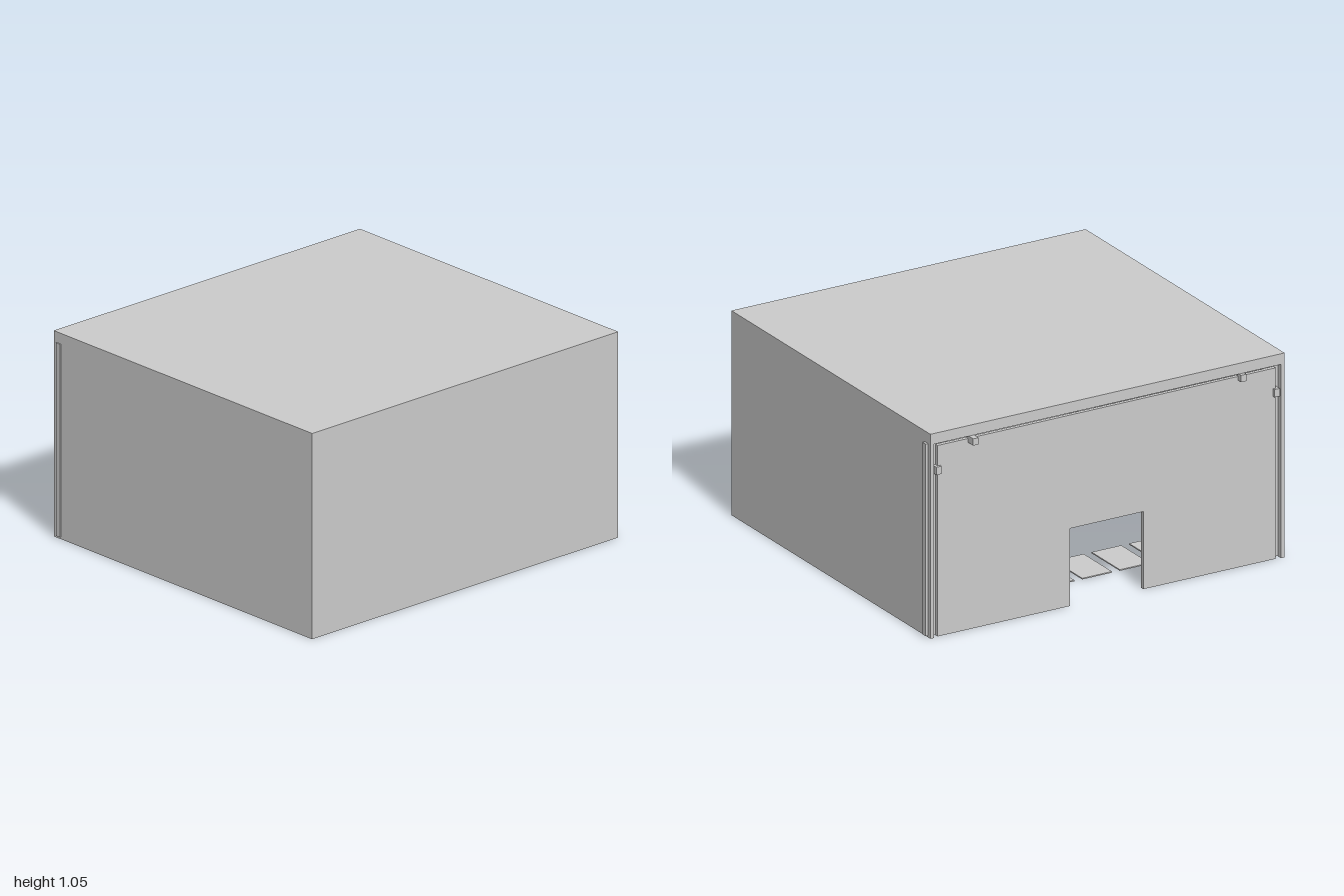
import * as THREE from 'three';

export function createModel() {
  const group = new THREE.Group();
  const material = new THREE.MeshStandardMaterial({ color: 0xcccccc, flatShading: true });

  // Box given by its limits on each axis
  function box(name, x0, x1, y0, y1, z0, z1) {
    const mesh = new THREE.Mesh(new THREE.BoxGeometry(x1 - x0, y1 - y0, z1 - z0), material);
    mesh.position.set((x0 + x1) / 2, (y0 + y1) / 2, (z0 + z1) / 2);
    mesh.name = name;
    group.add(mesh);
    return mesh;
  }

  const L = -0.995, R = 0.985, F = 0.93, B = -0.9, T = 0.02, H = 1.0;

  // Roof slab and outer walls
  box('roof', L, R, H, 1.055, B, F);
  box('frontWall', L, R, 0, H, F - T, F);
  box('rightWall', L, L + T, 0, H, B, F - T);
  box('leftWall', R - T, R, 0, H, B, F - T);

  // Back wall with a low doorway, set slightly inwards
  const wall = new THREE.Shape([
    [-0.95, 0], [-0.21, 0], [-0.21, 0.4], [0.2, 0.4], [0.2, 0], [0.94, 0], [0.94, 0.985], [-0.95, 0.985],
  ].map(([x, y]) => new THREE.Vector2(x, y)));
  const back = new THREE.Mesh(new THREE.ExtrudeGeometry(wall, { depth: T, bevelEnabled: false }), material);
  back.position.z = -0.892;
  back.name = 'backWall';
  group.add(back);

  // Thin vertical trims outside the side walls
  box('leftTrim', R, 1.0, 0.01, H, -0.88, -0.85);
  box('rightTrim', -1.0, L, 0.01, H, -0.88, -0.85);

  // Corner posts and foot plates
  for (const right of [true, false]) {
    for (const front of [true, false]) {
      const x = right ? L + T : R - T, sx = right ? 1 : -1;
      const z = front ? F - T : B + 0.03, sz = front ? -1 : 1;
      const span = (a, s, d) => [Math.min(a, a + s * d), Math.max(a, a + s * d)];
      box('cornerPost', ...span(x, sx, 0.09), 0.008, H, ...span(z, sz, 0.09));
      box('footPlate', ...span(x, sx, 0.17), 0.002, 0.008, ...span(z, sz, 0.17));
    }
  }

  // Beams below the roof, along the side walls
  box('rightBeam', L + T, L + T + 0.04, 0.93, H, B + 0.03, F - T);
  box('leftBeam', R - T - 0.04, R - T, 0.93, H, B + 0.03, F - T);

  // Three rows of eight floor panels
  for (const z of [-0.51, 0.08, 0.67]) {
    for (let i = 0; i < 8; i++) {
      const x = (i - 3.5) * 0.21;
      box('floorPanel', x - 0.083, x + 0.083, 0.002, 0.008, z - 0.13, z + 0.13);
    }
  }

  // Small blocks on the back wall
  box('leftCatch', 0.74, 0.77, 0.965, H, -0.94, -0.88);
  box('rightCatch', -0.77, -0.74, 0.965, H, -0.92, -0.88);
  for (const x of [-0.95, 0.94]) {
    box('hingeBlock', x - 0.015, x + 0.015, 0.84, 0.88, -0.905, -0.87);
  }

  return group;
}
